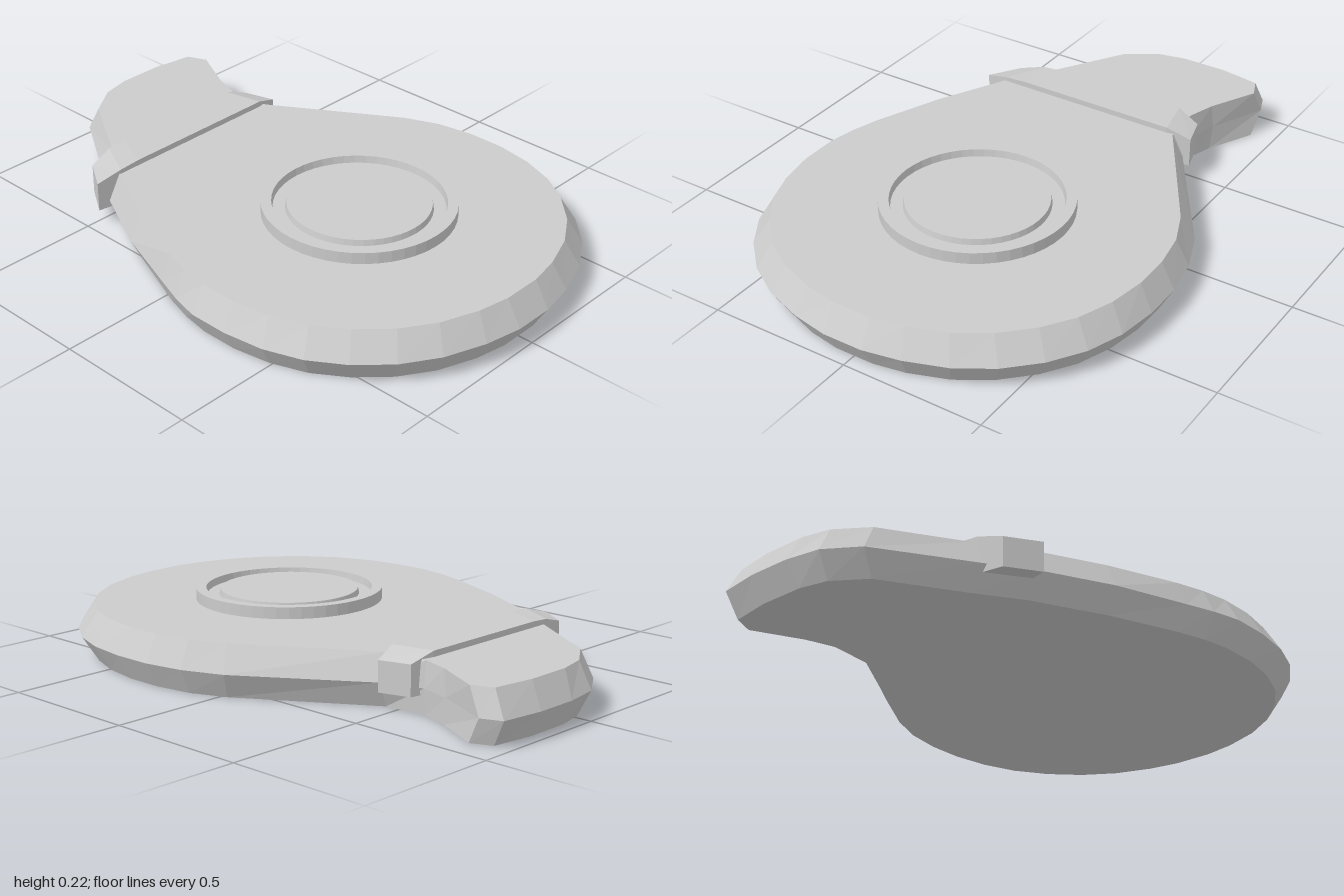
import * as THREE from 'three';

const material = new THREE.MeshStandardMaterial({ color: 0xcccccc, flatShading: true, side: THREE.DoubleSide });

// Skins a list of equal-length rings of [x, y, z]; capTris closes both ends
function loft(name, rings, capTris) {
  const n = rings[0].length;
  const index = [];
  for (let r = 0; r < rings.length - 1; r++) {
    for (let i = 0; i < n; i++) {
      const j = (i + 1) % n, a = r * n, b = a + n;
      index.push(a + i, a + j, b + j, a + i, b + j, b + i);
    }
  }
  const last = (rings.length - 1) * n;
  for (const [a, b, c] of capTris) index.push(a, c, b, last + a, last + b, last + c);
  const indexed = new THREE.BufferGeometry();
  indexed.setAttribute('position', new THREE.Float32BufferAttribute(rings.flat(2), 3));
  indexed.setIndex(index);
  const geometry = indexed.toNonIndexed();
  geometry.computeVertexNormals();
  const mesh = new THREE.Mesh(geometry, material);
  mesh.name = name;
  return mesh;
}

// Teardrop outlines in [x, z], starting at the round front
const frontWide = [[0.07, 1], [0.2, 0.975], [0.34, 0.925], [0.46, 0.85], [0.56, 0.75], [0.635, 0.635], [0.68, 0.51], [0.7, 0.37], [0.7, 0.23]];
const frontNarrow = [[0.07, 0.947], [0.18, 0.927], [0.31, 0.88], [0.42, 0.81], [0.515, 0.715], [0.585, 0.61], [0.63, 0.49], [0.652, 0.36], [0.652, 0.23]];
const tailWide = [[0.675, 0.09], [0.62, -0.05], [0.35, -0.46], [0.305, -0.6], [0.335, -0.71], [0.425, -0.91], [0.397, -0.98],
  [0.25, -1], [0.1, -1], [-0.025, -0.98], [-0.14, -0.905], [-0.335, -0.6], [-0.43, -0.46], [-0.55, -0.22], [-0.64, 0.03], [-0.675, 0.13]];
const tailNarrow = [[0.63, 0.1], [0.58, -0.02], [0.31, -0.45], [0.298, -0.6], [0.33, -0.7], [0.413, -0.865], [0.383, -0.935],
  [0.24, -0.957], [0.08, -0.957], [-0.02, -0.935], [-0.13, -0.86], [-0.29, -0.6], [-0.39, -0.45], [-0.51, -0.21], [-0.605, 0.03], [-0.635, 0.13]];

const closeOutline = (front, tail) => [...front, ...tail, ...front.map(([x, z]) => [-x, z]).reverse()];

function makeBody() {
  const wide = closeOutline(frontWide, tailWide);
  const narrow = closeOutline(frontNarrow, tailNarrow);
  const at = (outline, y) => outline.map(([x, z]) => [x, y, z]);
  const caps = THREE.ShapeUtils.triangulateShape(narrow.map(([x, z]) => new THREE.Vector2(x, -z)), []);
  return loft('body', [at(narrow, 0), at(wide, 0.087), at(narrow, 0.175)], caps);
}

function makeBand() {
  // Front x, back x, front z, back z, top y
  const sections = [
    [-0.47, -0.4, -0.47, -0.578, 0.165],
    [-0.38, -0.31, -0.453, -0.593, 0.19],
    [-0.3, -0.24, -0.453, -0.595, 0.195],
    [0.285, 0.255, -0.453, -0.595, 0.195],
    [0.37, 0.34, -0.47, -0.577, 0.165],
  ];
  const rings = sections.map(([xf, xb, zf, zb, top]) => [[xf, 0.062, zf], [xb, 0.062, zb], [xb, top, zb], [xf, top, zf]]);
  return loft('band', rings, [[0, 1, 2], [0, 2, 3]]);
}

// Raised rim, groove and central disc in one turned profile
function makeButton() {
  const profile = [[0.322, 0.16], [0.322, 0.215], [0.287, 0.215], [0.283, 0.19], [0.242, 0.19], [0.238, 0.21], [0, 0.21]];
  const geometry = new THREE.LatheGeometry(profile.map(([r, y]) => new THREE.Vector2(r, y)), 48);
  const mesh = new THREE.Mesh(geometry, material);
  mesh.name = 'roundButton';
  mesh.position.z = 0.285;
  return mesh;
}

export function createModel() {
  const group = new THREE.Group();
  group.name = 'teardropCharm';
  group.add(makeBody(), makeBand(), makeButton());
  return group;
}
